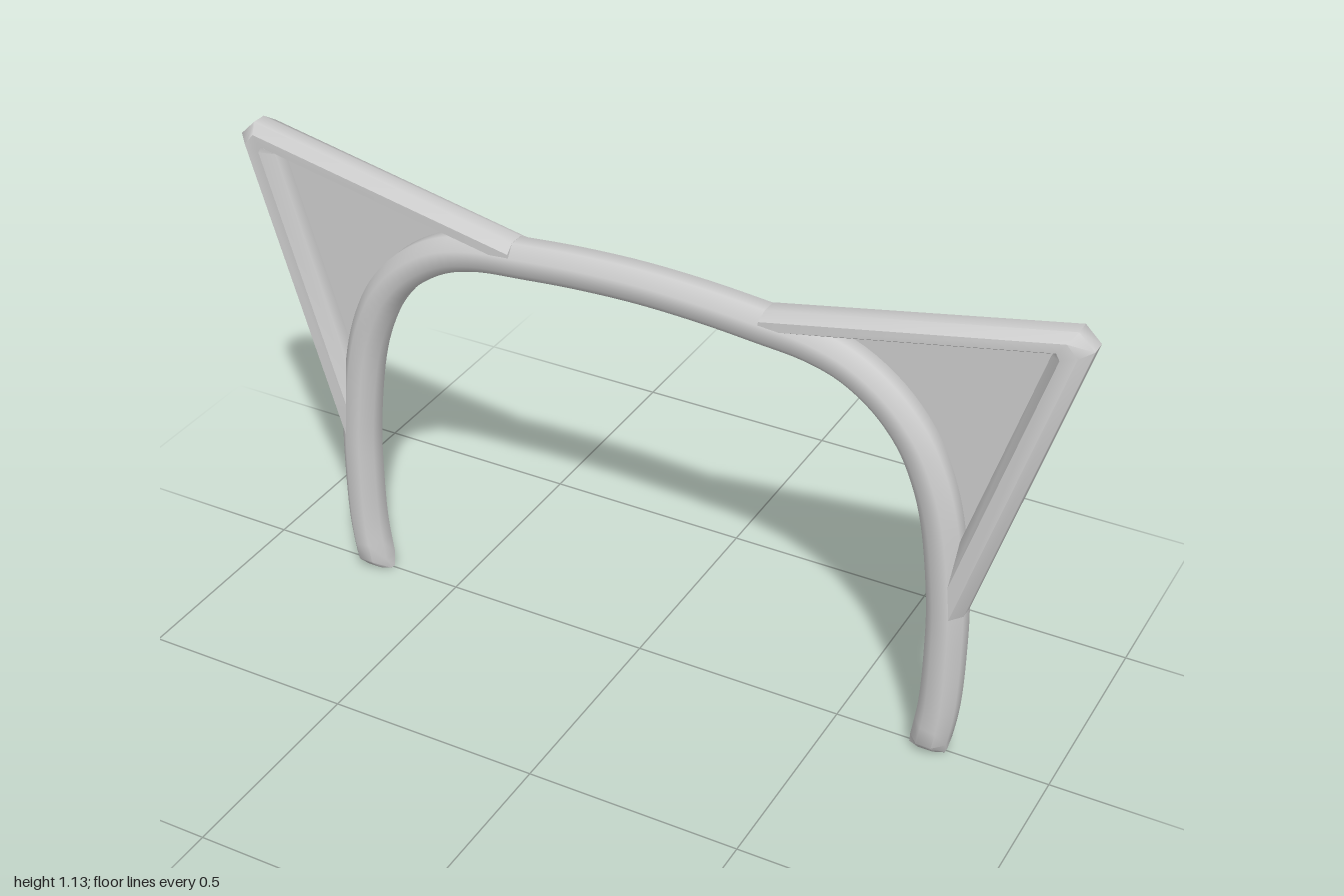
import * as THREE from 'three';
import { toCreasedNormals } from 'three/addons/utils/BufferGeometryUtils.js';

const HALF_DEPTH = 0.045;
const HALF_WIDTH = 0.042;

// Centreline of one half of the band, from foot to crown
const HALF_BAND = [
  [0.72, 0], [0.737, 0.12], [0.741, 0.27], [0.737, 0.4], [0.71, 0.6], [0.68, 0.7],
  [0.64, 0.78], [0.575, 0.855], [0.49, 0.912], [0.4, 0.94], [0.28, 0.953], [0.15, 0.964], [0, 0.969],
];

// Outer and inner edge of the ear rim, from the band over the tip and down
const RIM_EDGES = [
  [[0.3, 0.994], [0.29, 0.94]],
  [[0.96, 1.127], [0.913, 1.066]],
  [[0.996, 1.092], [0.91, 1.06]],
  [[0.779, 0.38], [0.7, 0.38]],
];

// Lofts an eight-sided section through rings.
// Each ring has a centre, a half-width vector pointing outward, and a depth factor.
function loft(rings) {
  const sides = 8;
  const grow = 1 / Math.cos(Math.PI / sides);
  const pos = [], index = [];
  for (const { x, y, nx, ny, d } of rings) {
    for (let j = 0; j < sides; j++) {
      const a = ((j + 0.5) / sides) * Math.PI * 2;
      const u = Math.cos(a) * grow;
      pos.push(x + nx * u, y + ny * u, Math.sin(a) * grow * HALF_DEPTH * d);
    }
  }
  for (let i = 0; i < rings.length - 1; i++) {
    for (let j = 0; j < sides; j++) {
      const a = i * sides + j, b = i * sides + ((j + 1) % sides);
      index.push(a, b, a + sides, b, b + sides, a + sides);
    }
  }
  // End caps
  const last = (rings.length - 1) * sides;
  for (let j = 1; j < sides - 1; j++) {
    index.push(0, j + 1, j, last, last + j, last + j + 1);
  }
  const g = new THREE.BufferGeometry();
  g.setAttribute('position', new THREE.Float32BufferAttribute(pos, 3));
  g.setIndex(index);
  return toCreasedNormals(g, 0.85);
}

// Arch with level feet that are chamfered front and back
function bandGeometry() {
  const mirrored = HALF_BAND.slice(0, -1).reverse().map(([x, y]) => [-x, y]);
  const curve = new THREE.CatmullRomCurve3(
    [...HALF_BAND, ...mirrored].map(([x, y]) => new THREE.Vector3(x, y, 0)), false, 'centripetal');
  const foot = (side) => [
    { x: 0.72 * side, y: 0, nx: -HALF_WIDTH * side, ny: 0, d: 0.4 },
    { x: 0.725 * side, y: 0.03, nx: -HALF_WIDTH * side, ny: 0, d: 1 },
  ];
  const arch = [];
  const steps = 120;
  for (let i = 1; i < steps; i++) {
    const p = curve.getPointAt(i / steps);
    const t = curve.getTangentAt(i / steps);
    if (p.y > 0.05) {
      arch.push({ x: p.x, y: p.y, nx: -t.y * HALF_WIDTH, ny: t.x * HALF_WIDTH, d: 1 });
    }
  }
  return loft([...foot(1), ...arch, ...foot(-1).reverse()]);
}

// Two tapering bars that meet at the clipped ear tip
function rimGeometry(side) {
  const rings = RIM_EDGES.map(([o, i]) => ({
    x: side * (o[0] + i[0]) / 2, y: (o[1] + i[1]) / 2,
    nx: side * (o[0] - i[0]) / 2, ny: (o[1] - i[1]) / 2, d: 0.98,
  }));
  // The bars run outward from the band, so the left side faces in reverse order
  return loft(side > 0 ? rings : rings.reverse());
}

// Web that closes the back of the ear and leaves a recess in front
function webGeometry(side) {
  const rimLine = RIM_EDGES.map(([o, i]) => [(o[0] + i[0]) / 2, (o[1] + i[1]) / 2]);
  const points = [...HALF_BAND.slice(3, 11), ...rimLine];
  const shape = new THREE.Shape(points.map(([x, y]) => new THREE.Vector2(x * side, y)));
  const g = new THREE.ExtrudeGeometry(shape, { depth: 0.028, bevelEnabled: false });
  g.translate(0, 0, -HALF_DEPTH + 0.0005);
  return g;
}

export function createModel() {
  const model = new THREE.Group();
  model.name = 'earHeadband';
  const material = new THREE.MeshStandardMaterial({ color: 0xcccccc });
  const add = (parent, name, geometry) => {
    const mesh = new THREE.Mesh(geometry, material);
    mesh.name = name;
    parent.add(mesh);
  };

  add(model, 'band', bandGeometry());
  for (const [name, side] of [['leftEar', 1], ['rightEar', -1]]) {
    const ear = new THREE.Group();
    ear.name = name;
    add(ear, 'earRim', rimGeometry(side));
    add(ear, 'earWeb', webGeometry(side));
    model.add(ear);
  }
  return model;
}
